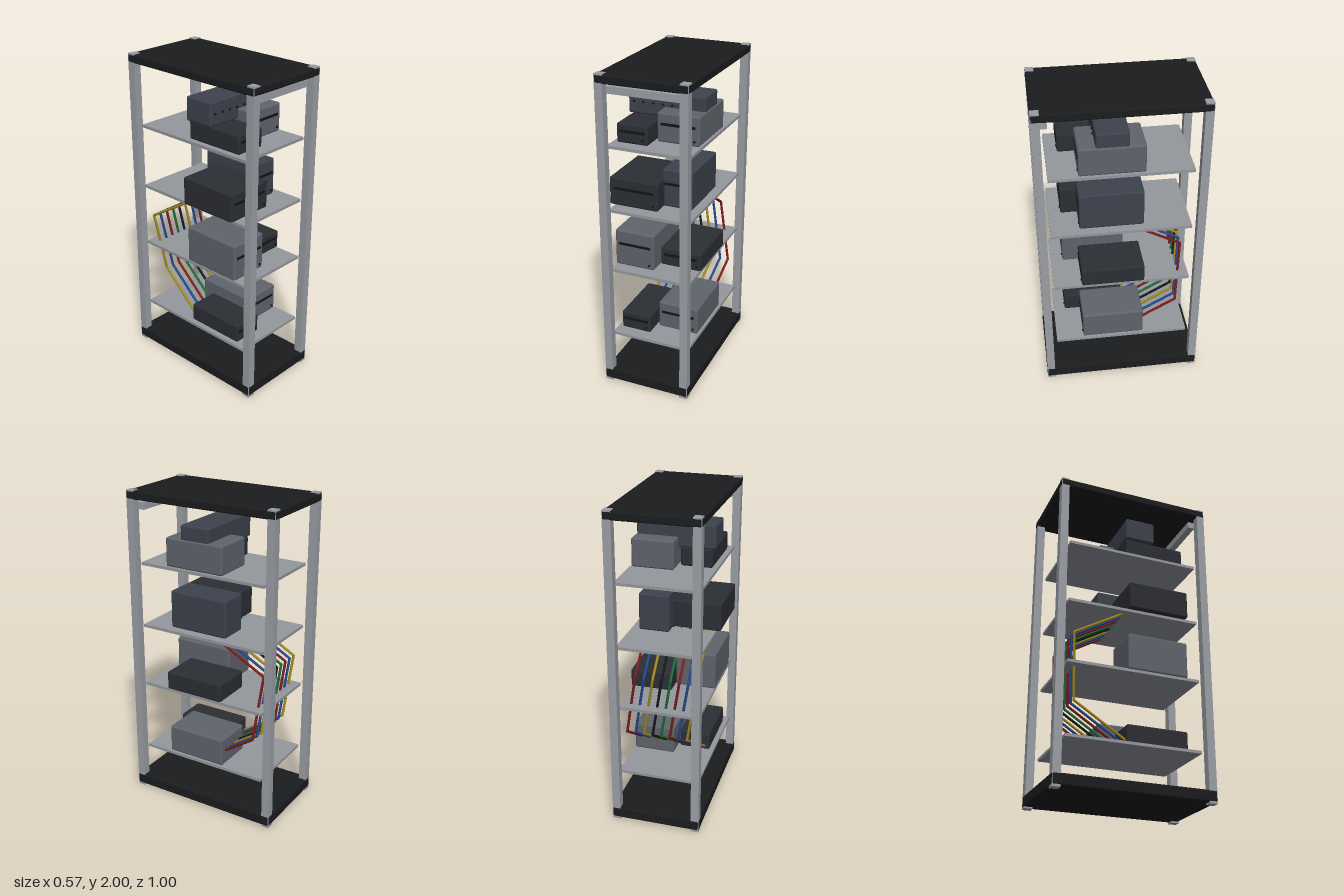
import * as THREE from 'three';
import { RoundedBoxGeometry } from 'three/addons/geometries/RoundedBoxGeometry.js';

const mat = (color) => new THREE.MeshStandardMaterial({ color });
const steel = mat(0x9a9ea4), shelfGrey = mat(0x94979c), black = mat(0x1b1c1e);
const charcoal = mat(0x2b2e34), slate = mat(0x3c424d), grey = mat(0x5f636b), trim = mat(0x131417);

// Box given by its min and max along each axis; r > 0 rounds the edges
function box(parent, name, material, [x0, x1], [y0, y1], [z0, z1], r = 0) {
  const size = [x1 - x0, y1 - y0, z1 - z0];
  const geo = r ? new RoundedBoxGeometry(...size, 3, r) : new THREE.BoxGeometry(...size);
  const mesh = new THREE.Mesh(geo, material);
  mesh.name = name;
  mesh.position.set((x0 + x1) / 2, (y0 + y1) / 2, (z0 + z1) / 2);
  parent.add(mesh);
  return mesh;
}

// Small knob facing the front
function knob(parent, name, x, y, z, r) {
  const mesh = new THREE.Mesh(new THREE.CylinderGeometry(r, r, 0.012, 12), trim);
  mesh.name = name;
  mesh.rotation.x = Math.PI / 2;
  mesh.position.set(x, y, z);
  parent.add(mesh);
}

// Equipment case with a front slot and a button
function device(parent, name, material, x, y0, height, front) {
  const g = new THREE.Group();
  g.name = name;
  box(g, 'case', material, x, [y0, y0 + height], [front - 0.39, front], 0.012);
  const slotY = y0 + height * 0.62;
  const inset = (x[1] - x[0]) * 0.09;
  box(g, 'slot', trim, [x[0] + inset, x[1] - inset], [slotY - 0.008, slotY + 0.008], [front - 0.01, front + 0.003]);
  knob(g, 'button', x[1] - 0.03, y0 + 0.03, front, 0.007);
  parent.add(g);
}

// Cable of straight runs with round joints
function cable(parent, points, material, r = 0.008) {
  const g = new THREE.Group();
  g.name = 'cable';
  const up = new THREE.Vector3(0, 1, 0);
  for (let i = 1; i < points.length; i++) {
    const dir = points[i].clone().sub(points[i - 1]);
    const run = new THREE.Mesh(new THREE.CylinderGeometry(r, r, dir.length(), 10), material);
    run.name = 'cableRun';
    run.position.addVectors(points[i], points[i - 1]).multiplyScalar(0.5);
    run.quaternion.setFromUnitVectors(up, dir.normalize());
    g.add(run);
    if (i < points.length - 1) {
      const joint = new THREE.Mesh(new THREE.SphereGeometry(r, 10, 8), material);
      joint.name = 'cableBend';
      joint.position.copy(points[i]);
      g.add(joint);
    }
  }
  parent.add(g);
}

export function createModel() {
  const model = new THREE.Group();
  model.name = 'equipmentRack';

  // Frame: base, roof, corner posts and front rail
  const frame = new THREE.Group();
  frame.name = 'frame';
  frame.position.x = 0.0015;
  model.add(frame);
  box(frame, 'base', black, [-0.281, 0.281], [0.01, 0.08], [-0.5, 0.5], 0.01);
  box(frame, 'roof', black, [-0.281, 0.281], [1.945, 1.996], [-0.5, 0.5], 0.01);
  for (const sx of [-1, 1]) for (const sz of [-1, 1]) {
    const post = box(frame, 'post', steel, [-0.025, 0.025], [0, 2], [-0.025, 0.025]);
    post.position.x = sx * 0.2545;
    post.position.z = sz * 0.4735;
  }
  box(frame, 'frontRail', steel, [-0.23, 0.23], [1.88, 1.923], [0.408, 0.452]);

  // Shelves
  const shelfTops = [0.315, 0.766, 1.163, 1.564];
  for (const y of shelfTops) box(frame, 'shelf', shelfGrey, [-0.255, 0.255], [y - 0.018, y], [-0.423, 0.423]);

  // Devices, from the lowest shelf upwards
  const [s1, s2, s3, s4] = shelfTops;
  for (const y of [s1, s4]) {
    device(model, 'smallUnit', charcoal, [-0.226, -0.03], y, 0.117, 0.35);
    device(model, 'largeUnit', grey, [-0.016, 0.246], y, 0.178, 0.25);
  }
  device(model, 'tallGreyUnit', grey, [-0.256, 0], s2, 0.234, 0.35);
  device(model, 'flatUnit', charcoal, [0, 0.265], s2, 0.118, 0.25);
  device(model, 'wideUnit', charcoal, [-0.285, 0.028], s3, 0.177, 0.35);
  device(model, 'tallUnit', slate, [0.014, 0.206], s3, 0.237, 0.25);

  // Patch panel lying across the top units
  const panel = new THREE.Group();
  panel.name = 'patchPanel';
  box(panel, 'panelCase', slate, [-0.245, 0.24], [1.68, 1.828], [-0.045, 0.148], 0.012);
  for (let i = 0; i < 6; i++) knob(panel, 'panelKnob', -0.208 + i * 0.061, 1.755, 0.148, 0.007);
  model.add(panel);

  // Cables running down the back between the shelves
  const cableMats = [0xa08a1c, 0x24488f, 0x7d1c1c, 0x1f6b38, 0x17181a].map(mat);
  for (let i = 0; i < 8; i++) {
    const x = -0.2 + i * 0.055;
    cable(model, [
      new THREE.Vector3(x, 1.172, -0.02),
      new THREE.Vector3(x - 0.03, 0.955, -0.377),
      new THREE.Vector3(x + 0.04, 0.555, -0.347),
      new THREE.Vector3(x + 0.005, 0.337, -0.035),
    ], cableMats[i % 5]);
  }
  return model;
}
